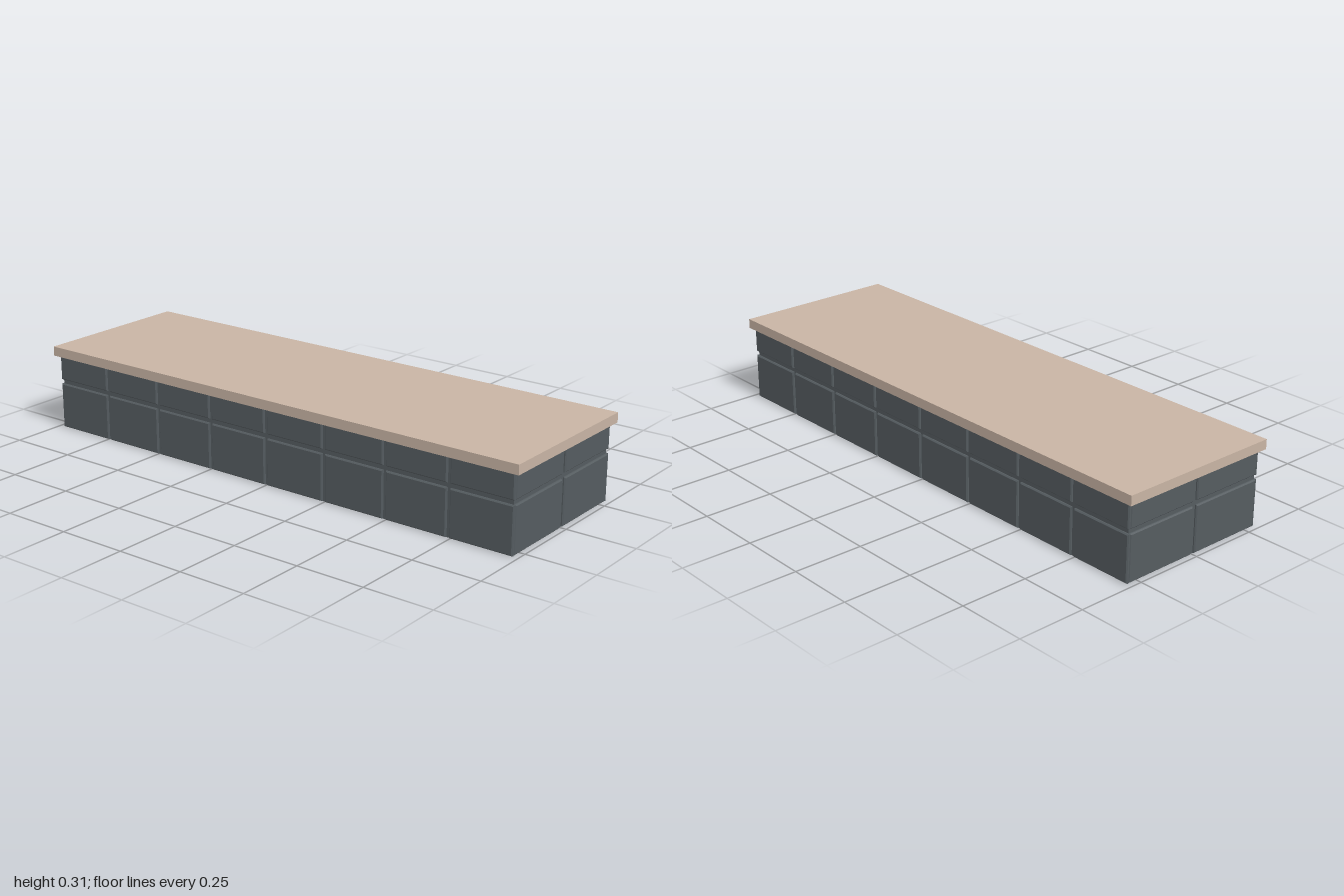
import * as THREE from 'three';

const baseMat = new THREE.MeshStandardMaterial({ color: 0x555c60, flatShading: true });
const topMat = new THREE.MeshStandardMaterial({ color: 0xc8b4a4, flatShading: true });

// Panel facing +z with its back at z = 0 and a chamfered outer rim
function panelGeometry(w, h, t, bevel) {
  const geo = new THREE.BoxGeometry(w, h, t, 1, 1, 2).translate(0, 0, t / 2);
  const p = geo.attributes.position;
  for (let i = 0; i < p.count; i++) {
    if (p.getZ(i) > t * 0.9) {
      p.setX(i, p.getX(i) - Math.sign(p.getX(i)) * bevel);
      p.setY(i, p.getY(i) - Math.sign(p.getY(i)) * bevel);
    } else if (p.getZ(i) > t * 0.1) {
      p.setZ(i, t - bevel);
    }
  }
  const flat = geo.toNonIndexed();
  flat.computeVertexNormals();
  return flat;
}

function box(name, w, h, d, y, mat) {
  const m = new THREE.Mesh(new THREE.BoxGeometry(w, h, d), mat);
  m.name = name;
  m.position.y = y;
  return m;
}

// Two rows of panels: low doors and shallow drawers
const ROWS = [
  { name: 'doorPanel', y0: 0.001, y1: 0.17 },
  { name: 'drawerPanel', y0: 0.186, y1: 0.277 },
];

// One face of the cabinet: count columns spread over width
function panelFace(name, count, width, gap, thickness) {
  const face = new THREE.Group();
  face.name = name;
  const pitch = (width + gap) / count;
  for (const row of ROWS) {
    const geo = panelGeometry(pitch - gap, row.y1 - row.y0, thickness, 0.004);
    for (let i = 0; i < count; i++) {
      const m = new THREE.Mesh(geo, baseMat);
      m.name = row.name;
      m.position.set((i - (count - 1) / 2) * pitch, (row.y0 + row.y1) / 2, 0);
      face.add(m);
    }
  }
  return face;
}

export function createModel() {
  const model = new THREE.Group();
  model.name = 'kitchenIsland';

  // Carcass and overhanging worktop
  model.add(box('carcass', 0.574, 0.277, 1.95, 0.1385, baseMat));
  model.add(box('worktop', 0.614, 0.035, 2, 0.2945, topMat));

  // Panels on the two ends and the two long sides
  for (const s of [1, -1]) {
    const end = panelFace(s > 0 ? 'frontPanels' : 'backPanels', 2, 0.574, 0.016, 0.009);
    end.position.z = s * 0.974;
    end.rotation.y = s > 0 ? 0 : Math.PI;
    model.add(end);

    const side = panelFace(s > 0 ? 'leftPanels' : 'rightPanels', 8, 1.962, 0.012, 0.009);
    side.position.x = s * 0.286;
    side.rotation.y = s * Math.PI / 2;
    model.add(side);
  }
  return model;
}
